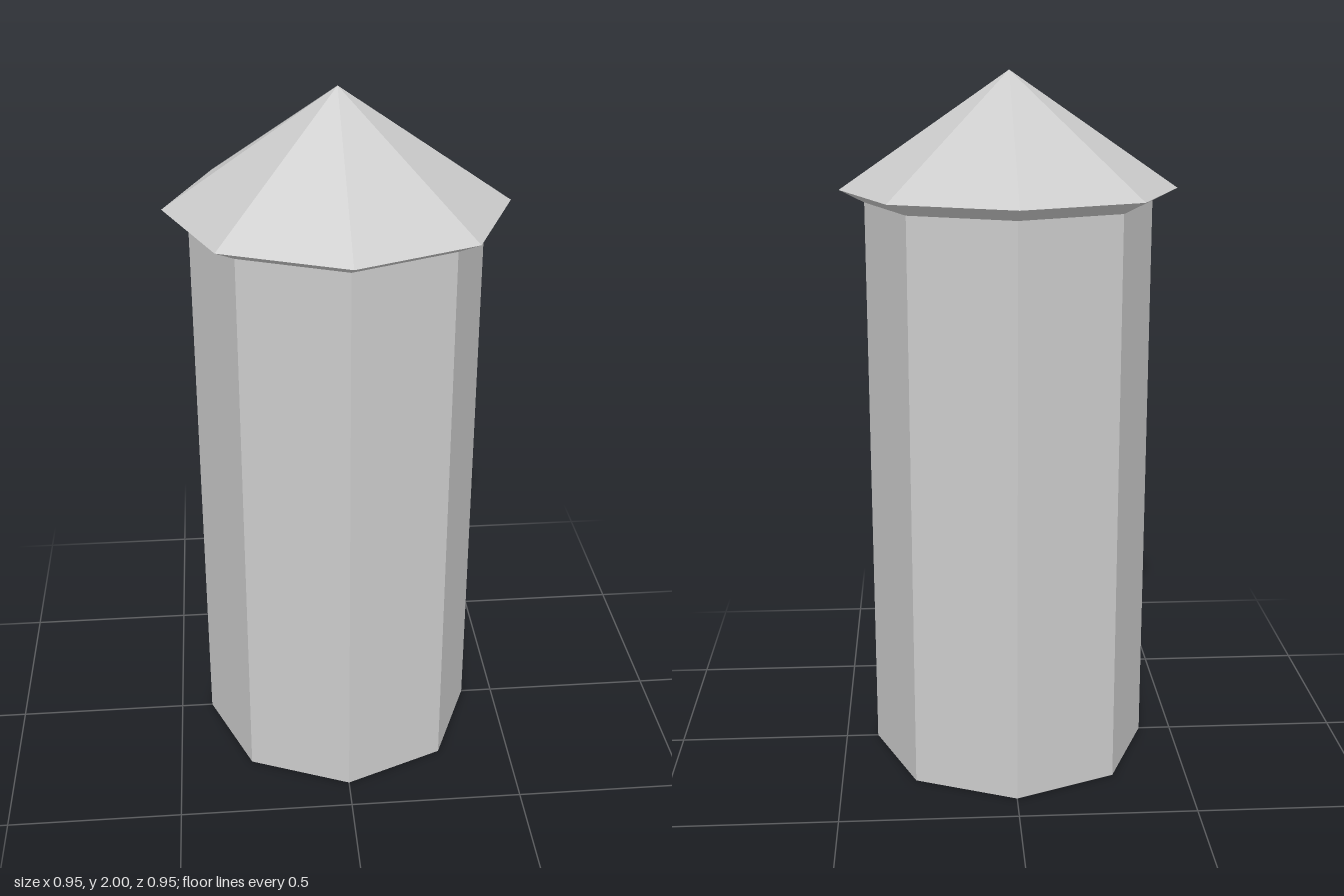
import * as THREE from 'three';

const SIDES = 8;
const BODY_R = 0.405, EAVE_R = 0.475;
const BODY_TOP = 1.64, EAVE_Y = 1.675, TOP = 2;

export function createModel() {
  const model = new THREE.Group();
  model.name = 'octagonalTower';
  const material = new THREE.MeshStandardMaterial({ color: 0xcccccc, flatShading: true });

  const add = (name, geometry) => {
    const mesh = new THREE.Mesh(geometry, material);
    mesh.name = name;
    model.add(mesh);
  };

  // Open eight-sided ring of faces between two heights, corners on the axes
  const ring = (rBottom, rTop, y0, y1) =>
    new THREE.CylinderGeometry(rTop, rBottom, y1 - y0, SIDES, 1, true)
      .translate(0, (y0 + y1) / 2, 0);

  // Shaft and its underside
  add('shaft', ring(BODY_R, BODY_R, 0, BODY_TOP));
  add('base', new THREE.CircleGeometry(BODY_R, SIDES).rotateX(Math.PI / 2));

  // Flared eave under the pointed roof
  add('eave', ring(BODY_R, EAVE_R, BODY_TOP, EAVE_Y));
  add('roof', ring(EAVE_R, 0, EAVE_Y, TOP));

  return model;
}
